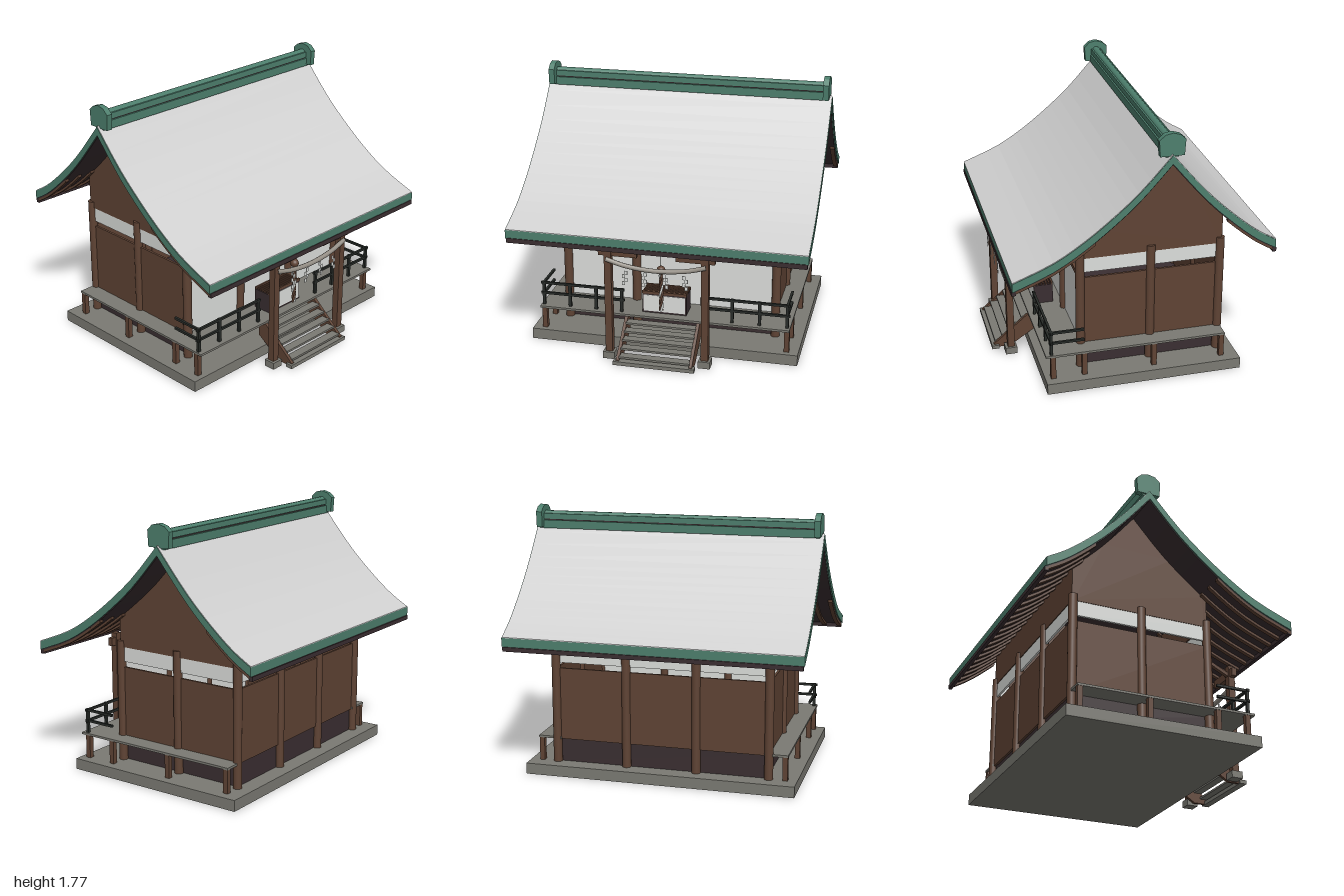
import * as THREE from 'three';

const mat = (name, color) => {
  const m = new THREE.MeshStandardMaterial({ color });
  m.name = name;
  return m;
};

export function createModel() {
  const M = {
    roof: mat('pale roof', 0xd0d0d0), green: mat('copper green', 0x4d7f6d),
    wood: mat('brown wood', 0x5f4334), dark: mat('dark wood', 0x3a2e31),
    stone: mat('grey stone', 0x7b7a73), plaster: mat('plaster white', 0xdcdedb),
    rail: mat('black rail', 0x272b28), rope: mat('straw rope', 0x958f86),
  };
  const model = new THREE.Group();
  model.name = 'shrineHall';
  const add = (name, geo, m, x = 0, y = 0, z = 0) => {
    const mesh = new THREE.Mesh(geo, m);
    mesh.name = name;
    mesh.position.set(x, y, z);
    model.add(mesh);
    return mesh;
  };
  // Box given by its extents on each axis
  const box = (name, m, x0, x1, y0, y1, z0, z1) => add(name,
    new THREE.BoxGeometry(x1 - x0, y1 - y0, z1 - z0), m, (x0 + x1) / 2, (y0 + y1) / 2, (z0 + z1) / 2);
  const post = (name, m, r, x, z, y0, y1, sides = 16) =>
    add(name, new THREE.CylinderGeometry(r, r, y1 - y0, sides), m, x, (y0 + y1) / 2, z);
  // Side outline of [z, y] points, extruded along x
  const slab = (name, m, pts, x0, x1) => {
    const shape = new THREE.Shape(pts.map(([z, y]) => new THREE.Vector2(-z, y)));
    const geo = new THREE.ExtrudeGeometry(shape, { depth: x1 - x0, bevelEnabled: false });
    return add(name, geo.rotateY(Math.PI / 2), m, x0);
  };
  const tube = (name, m, pts, r, seg = 24) => add(name, new THREE.TubeGeometry(
    new THREE.CatmullRomCurve3(pts.map((p) => new THREE.Vector3(...p))), seg, r, 8), m);

  // Roof slopes
  const curve = (pts) => new THREE.SplineCurve(pts.map((p) => new THREE.Vector2(...p)))
    .getPoints(14).map((p) => [p.x, p.y]);
  const front = curve([[-0.168, 1.64], [0.03, 1.42], [0.22, 1.25], [0.41, 1.105], [0.6, 0.99], [0.848, 0.89]]);
  const back = curve([[-0.168, 1.64], [-0.37, 1.4], [-0.54, 1.23], [-0.725, 1.075], [-0.872, 0.985]]);
  const layer = (name, m, pts, up, down, x0, x1) => slab(name, m,
    [...pts.map(([z, y]) => [z, y + up]), ...pts.map(([z, y]) => [z, y - down]).reverse()], x0, x1);
  for (const pts of [front, back]) {
    layer('roofBody', M.green, pts, -0.004, 0.062, -0.998, 0.998);
    layer('roofSkin', M.roof, pts, 0.001, 0.004, -0.994, 0.994);
    layer('roofSoffit', M.dark, pts, -0.062, 0.07, -0.99, 0.99);
    for (let i = 0; i <= 18; i++) {
      const x = -0.975 + i * 0.1083;
      layer('rafter', M.wood, pts.slice(7), -0.07, 0.088, x - 0.015, x + 0.015);
    }
  }
  box('frontEaveBatten', M.dark, -0.99, 0.99, 0.8, 0.832, 0.825, 0.853);
  box('backEaveBatten', M.dark, -0.99, 0.99, 0.893, 0.922, -0.88, -0.855);

  // Ridge
  box('ridgeBase', M.green, -0.97, 0.97, 1.615, 1.67, -0.212, -0.128);
  box('ridgeGroove', M.dark, -0.945, 0.945, 1.67, 1.678, -0.2, -0.14);
  box('ridgeMiddle', M.green, -0.945, 0.945, 1.678, 1.715, -0.206, -0.134);
  add('ridgeRoll', new THREE.CylinderGeometry(0.027, 0.027, 1.89, 10).rotateZ(Math.PI / 2), M.green, 0, 1.706, -0.17);
  const cap = [[-0.09, 1.625], [-0.246, 1.625], [-0.253, 1.73], [-0.22, 1.76], [-0.17, 1.775], [-0.12, 1.765], [-0.083, 1.73]];
  for (const s of [-1, 1]) slab('ridgeEndCap', M.green, cap, s * 0.96 - 0.02, s * 0.96 + 0.02);

  // Base, skirt and deck
  box('base', M.stone, -0.92, 0.92, 0, 0.075, -0.7, 0.625);
  box('skirt', M.dark, -0.715, 0.715, 0.075, 0.235, -0.58, 0.345);
  box('frontDeck', M.stone, -0.86, 0.86, 0.235, 0.25, 0.34, 0.62);
  for (const s of [-1, 1]) {
    const a = Math.min(s * 0.7, s * 0.86), b = Math.max(s * 0.7, s * 0.86);
    box('sideDeck', M.stone, a, b, 0.235, 0.25, -0.605, 0.34);
    for (const z of [0.57, 0.36, -0.115, -0.585])
      box('deckPost', M.wood, s * 0.84 - 0.017, s * 0.84 + 0.017, 0.075, 0.235, z - 0.017, z + 0.017);
  }

  // Walls with a light band under the eaves
  box('frontWall', M.plaster, -0.73, 0.73, 0.235, 0.87, 0.345, 0.36);
  box('backWall', M.wood, -0.73, 0.73, 0.235, 0.73, -0.595, -0.58);
  box('backBand', M.plaster, -0.73, 0.73, 0.768, 0.868, -0.595, -0.58);
  box('backUpperWall', M.wood, -0.74, 0.74, 0.868, 1.11, -0.6, -0.575);
  box('frontUpperWall', M.wood, -0.74, 0.74, 0.868, 1.08, 0.335, 0.36);
  const gable = [[0.355, 0.868], [0.355, 1.09], [0.1, 1.31], [-0.168, 1.575], [-0.38, 1.325], [-0.59, 1.12], [-0.59, 0.868]];
  for (const s of [-1, 1]) {
    const x = s * 0.728;
    box('sideWall', M.wood, x - 0.008, x + 0.008, 0.235, 0.73, -0.59, 0.36);
    box('sideBand', M.plaster, x - 0.008, x + 0.008, 0.768, 0.868, -0.59, 0.36);
    slab('gable', M.wood, gable, x - 0.012, x + 0.012);
    post('sidePillar', M.wood, 0.03, s * 0.73, -0.115, 0.075, 0.912);
    for (const px of [0.24, 0.73]) {
      post('frontPillar', M.wood, 0.03, s * px, 0.36, 0.075, 0.912);
      post('backPillar', M.wood, 0.03, s * px, -0.59, 0.075, 0.912);
    }
    box('frontBeam', M.wood, s * 0.485 - 0.245, s * 0.485 + 0.245, 0.735, 0.766, 0.35, 0.378);

    // Porch
    const p = s * 0.325;
    box('porchStone', M.stone, p - 0.04, p + 0.04, 0, 0.048, 0.72, 0.8);
    box('porchPost', M.wood, p - 0.024, p + 0.024, 0.048, 0.825, 0.735, 0.782);
    box('porchBracket', M.wood, s * 0.26 - 0.13, s * 0.26 + 0.13, 0.738, 0.795, 0.74, 0.775);
    slab('porchTieBeam', M.wood, [[0.75, 0.74], [0.75, 0.768], [0.585, 0.848], [0.36, 0.854],
      [0.36, 0.826], [0.59, 0.82]], p - 0.014, p + 0.014);

    // Railings
    const r0 = Math.min(s * 0.27, s * 0.86), r1 = Math.max(s * 0.27, s * 0.86);
    for (const y of [0.335, 0.41]) {
      box('frontRail', M.rail, r0, r1, y - 0.008, y + 0.008, 0.572, 0.588);
      box('sideRail', M.rail, s * 0.84 - 0.008, s * 0.84 + 0.008, y - 0.008, y + 0.008, 0.36, 0.595);
    }
    for (const x of [0.29, 0.47, 0.655, 0.84])
      box('railPost', M.rail, s * x - 0.01, s * x + 0.01, 0.25, 0.42, 0.571, 0.589);

    // Stair sides
    slab('stairSide', M.wood, [[0.56, 0.235], [0.615, 0.24], [0.865, 0.03], [0.865, 0.005], [0.75, 0.005], [0.56, 0.13]],
      s * 0.247 - 0.011, s * 0.247 + 0.011);
  }

  // Stairs
  for (let i = 0; i < 5; i++) {
    const y = 0.045 + i * 0.04, z = 0.825 - i * 0.047;
    box('stairTread', M.stone, -0.24, 0.24, y - 0.007, y + 0.007, z - 0.03, z + 0.03);
  }
  box('stairFoot', M.stone, -0.275, 0.275, 0, 0.026, 0.83, 0.88);

  // Offering box
  box('offeringBox', M.dark, -0.152, 0.152, 0.25, 0.388, 0.42, 0.553);
  box('offeringBoxFace', M.plaster, -0.143, 0.143, 0.262, 0.38, 0.553, 0.556);
  for (const z of [0.426, 0.549]) box('offeringBoxRim', M.wood, -0.155, 0.155, 0.388, 0.406, z - 0.006, z + 0.006);
  for (let i = 0; i < 5; i++) box('offeringBoxSlat', M.wood, -0.152, 0.152, 0.39, 0.402, 0.441 + i * 0.02, 0.451 + i * 0.02);

  // Bell with a twisted two-colour cord
  add('bell', new THREE.SphereGeometry(0.029, 20, 14), M.wood, 0, 0.61, 0.64);
  post('bellString', M.rail, 0.002, 0, 0.64, 0.63, 0.92, 6);
  for (let k = 0; k < 3; k++) {
    const pts = [];
    for (let i = 0; i <= 24; i++) {
      const a = i * 0.5 + k * Math.PI * 2 / 3;
      pts.push([Math.cos(a) * 0.008, 0.585 - i * 0.0113, 0.64 + Math.sin(a) * 0.008]);
    }
    tube('bellCord', k === 1 ? M.plaster : M.wood, pts, 0.0075, 60);
  }

  // Sagging straw rope with folded paper strips
  tube('strawRope', M.rope, [[-0.335, 0.718, 0.785], [-0.2, 0.685, 0.792], [0, 0.668, 0.795],
    [0.2, 0.685, 0.792], [0.335, 0.718, 0.785]], 0.016, 32);
  for (const x of [-0.2, -0.07, 0.07, 0.2]) {
    const s = Math.sign(x);
    for (let i = 0; i < 4; i++) {
      const cx = x + s * (i % 2 ? 0.009 : -0.007), y = 0.658 - i * 0.025;
      box('paperStrip', M.plaster, cx - 0.01, cx + 0.01, y - 0.027, y, 0.808, 0.811);
    }
  }
  return model;
}
